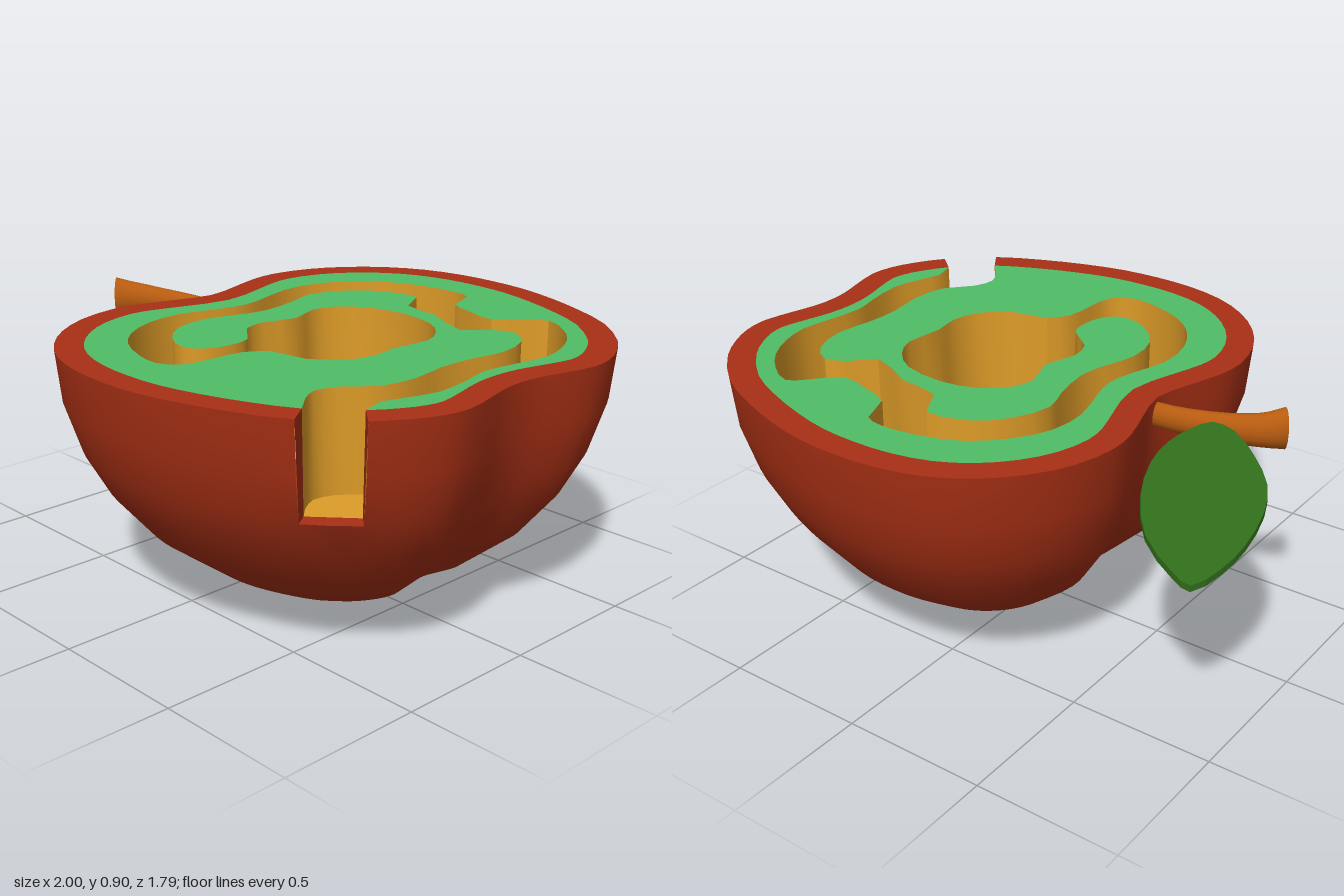
import * as THREE from 'three';
import { mergeVertices, toCreasedNormals } from 'three/addons/utils/BufferGeometryUtils.js';

const TOP = 0.88, FLOOR = 0.54, CX = 0.195;
const material = color => new THREE.MeshStandardMaterial({ color, side: THREE.DoubleSide });
const SKIN = material(0xa83015), FLESH = material(0x50be68), CORE = material(0xde9c28);
const STEM = material(0xb85c10), LEAF = material(0x306c1a);

// Smooth curve through [x, z] pairs, keeping the given points
function smooth(pairs, closed, sub = 2) {
  const curve = new THREE.CatmullRomCurve3(pairs.map(([x, z]) => new THREE.Vector3(x, 0, z)), closed);
  const n = (closed ? pairs.length : pairs.length - 1) * sub;
  const pts = [];
  for (let i = 0; i < n + (closed ? 0 : 1); i++) pts.push(curve.getPoint(i / n));
  return pts;
}
const at = (p, y, s = 1) => new THREE.Vector3(CX + (p.x - CX) * s, y, p.z * s);

// Surface through rows of points; skip(row, column) leaves a gap
function sheet(rows, wrap = false, skip = () => false) {
  const n = rows[0].length, index = [];
  for (let j = 0; j < rows.length - 1; j++) {
    for (let i = 0; i < (wrap ? n : n - 1); i++) {
      if (skip(j, i)) continue;
      const k = (i + 1) % n, a = j * n + i, b = j * n + k;
      index.push(a, b, a + n, b, b + n, a + n);
    }
  }
  const geo = new THREE.BufferGeometry().setFromPoints(rows.flat());
  geo.setIndex(index);
  const merged = mergeVertices(geo, 1e-5);
  merged.computeVertexNormals();
  return merged;
}

// Flat, upward-facing polygon
function plate(pts, y) {
  const shape = new THREE.Shape(pts.map(p => new THREE.Vector2(p.x, -p.z)));
  return new THREE.ShapeGeometry(shape).rotateX(-Math.PI / 2).translate(0, y, 0);
}

export function createModel() {
  const group = new THREE.Group();
  const add = (name, geo, mat) => {
    const mesh = new THREE.Mesh(geo, mat);
    mesh.name = name;
    group.add(mesh);
  };

  // Fruit outline: one half, mirrored in z
  const half = [[0.945, 0], [0.952, 0.08], [0.975, 0.17], [1, 0.29], [0.988, 0.38], [0.95, 0.47], [0.88, 0.575],
    [0.73, 0.71], [0.57, 0.79], [0.4, 0.85], [0.25, 0.885], [0.1, 0.895], [-0.05, 0.885], [-0.2, 0.845],
    [-0.33, 0.77], [-0.44, 0.66], [-0.515, 0.53], [-0.55, 0.38], [-0.54, 0.27], [-0.5, 0.14], [-0.465, 0]];
  const mirrored = half.slice(1, -1).reverse().map(([x, z]) => [x, -z]);
  const outer = smooth([...half, ...mirrored], true);
  const N = outer.length, A = 12, B = 14; // slot lies between columns A and B
  const inner = outer.map((p, i) => {
    const t = outer[(i + 1) % N].clone().sub(outer[(i + N - 1) % N]).normalize();
    return new THREE.Vector3(p.x - t.z * 0.095, 0, p.z + t.x * 0.095);
  });
  const inSlot = i => i >= A && i < B;

  // Skin bowl, with the exit slot left open in its upper rings
  const slotAngle = Math.asin((TOP - FLOOR) / TOP);
  const angles = [0, slotAngle / 2, slotAngle, ...[33, 45, 60, 75, 90].map(THREE.MathUtils.degToRad)];
  const rings = angles.map(f => outer.map(p => at(p, TOP * (1 - Math.sin(f)), Math.cos(f))));
  add('skinBowl', sheet(rings, true, (j, i) => j < 2 && inSlot(i)), SKIN);
  add('skinRim', sheet([inner.map(p => at(p, TOP)), outer.map(p => at(p, TOP))], true,
    (j, i) => inSlot(i)), SKIN);

  // Channel: outer wall from slot to centre pocket, then back along the inner wall
  const outerWall = smooth([[0.785, 0.43], [0.81, 0.35], [0.84, 0.235], [0.82, 0.085], [0.8, -0.01], [0.82, -0.155],
    [0.835, -0.26], [0.81, -0.37], [0.755, -0.475], [0.675, -0.555], [0.58, -0.605], [0.525, -0.56],
    [0.44, -0.475], [0.325, -0.5], [0.225, -0.535], [0.18, -0.65], [0.11, -0.67], [-0.02, -0.655],
    [-0.155, -0.605], [-0.26, -0.51], [-0.33, -0.385], [-0.34, -0.245], [-0.3, -0.1], [-0.28, 0],
    [-0.3, 0.11], [-0.34, 0.245], [-0.325, 0.39], [-0.26, 0.515], [-0.17, 0.595], [-0.05, 0.645],
    [0.055, 0.66], [0.125, 0.61], [0.14, 0.5], [0.15, 0.39], [0.2, 0.32]], false);
  const innerWall = smooth([[0.34, 0.295], [0.43, 0.215], [0.46, 0.11], [0.445, 0.01], [0.46, -0.13], [0.415, -0.22],
    [0.325, -0.29], [0.165, -0.315], [0.04, -0.285], [-0.045, -0.21], [-0.07, -0.13], [-0.03, -0.01],
    [-0.065, 0.11], [-0.045, 0.2], [0.05, 0.28], [0.065, 0.355], [0.04, 0.45], [-0.02, 0.49],
    [-0.12, 0.455], [-0.21, 0.355], [-0.23, 0.22], [-0.19, 0.085], [-0.175, -0.01], [-0.2, -0.155],
    [-0.23, -0.26], [-0.18, -0.395], [-0.085, -0.485], [0.06, -0.515], [0.12, -0.405], [0.27, -0.38],
    [0.45, -0.3], [0.515, -0.37], [0.595, -0.405], [0.675, -0.34], [0.71, -0.21], [0.69, -0.075],
    [0.685, 0.06], [0.705, 0.19], [0.685, 0.325], [0.605, 0.42], [0.585, 0.5], [0.62, 0.565]], false);
  const wall = [...outerWall, ...innerWall];

  // Flesh top face runs around the rim, then along the channel
  add('fleshTop', plate([...inner.slice(B), ...inner.slice(0, A + 1), ...wall], TOP), FLESH);

  // Channel walls and floor
  const lip = 0.96; // taper of the skin's inside at floor level
  const wallTop = [inner[A], ...wall, inner[B]].map(p => at(p, TOP));
  const wallLow = [at(inner[A], FLOOR, lip), ...wall.map(p => at(p, FLOOR)), at(inner[B], FLOOR, lip)];
  add('channelWalls', toCreasedNormals(sheet([wallTop, wallLow]), 0.7), CORE);
  add('channelFloor', plate(wallLow, FLOOR), CORE);

  // Cut skin at the slot: two cheeks and the sill
  for (const [c, name] of [[A, 'slotCheekLeft'], [B, 'slotCheekRight']]) {
    const top = [at(outer[c], TOP), at(inner[c], TOP)];
    const low = [rings[2][c], at(inner[c], FLOOR, lip)];
    if (c === B) { top.reverse(); low.reverse(); }
    add(name, sheet([top, low]), SKIN);
  }
  add('slotSill', plate([at(inner[A], 0, lip), ...rings[2].slice(A, B + 1), at(inner[B], 0, lip)], FLOOR), SKIN);

  // Stem: oval sections along a bent path, flaring to the tip
  const path = new THREE.CatmullRomCurve3([[-0.42, 0.82, -0.005], [-0.55, 0.82, 0.005], [-0.7, 0.822, 0.045],
    [-0.8, 0.825, 0.09], [-0.85, 0.828, 0.135]].map(p => new THREE.Vector3(...p)));
  const sections = [];
  for (let j = 0; j <= 10; j++) {
    const t = j / 10, c = path.getPoint(t), d = path.getTangent(t);
    const side = new THREE.Vector3(-d.z, 0, d.x).normalize();
    const w = 0.026 + 0.018 * t, h = 0.042 + 0.029 * t * t;
    sections.push(Array.from({ length: 16 }, (_, i) => {
      const a = i / 16 * Math.PI * 2;
      return c.clone().addScaledVector(side, -Math.cos(a) * w).add(new THREE.Vector3(0, Math.sin(a) * h, 0));
    }));
  }
  const tip = path.getPoint(1);
  sections.push(sections[10].map(() => tip.clone()));
  add('stem', toCreasedNormals(sheet(sections, true), 0.8), STEM);

  // Leaf: thin blade, tilted down towards the back
  const blade = smooth([[-0.94, -0.57], [-0.87, -0.555], [-0.73, -0.48], [-0.635, -0.36], [-0.59, -0.235],
    [-0.59, -0.14], [-0.62, -0.06], [-0.665, 0], [-0.745, 0], [-0.85, -0.06], [-0.94, -0.14],
    [-0.985, -0.235], [-1, -0.37], [-0.985, -0.475]], true);
  const bladeShape = new THREE.Shape(blade.map(p => new THREE.Vector2(p.x, -p.z)));
  const leaf = new THREE.ExtrudeGeometry(bladeShape, { depth: 0.022, bevelEnabled: false }).rotateX(-Math.PI / 2);
  const pos = leaf.attributes.position;
  for (let i = 0; i < pos.count; i++) {
    pos.setY(i, pos.getY(i) + 0.815 + 0.31 * pos.getZ(i) + 0.1 * (pos.getX(i) + 0.8));
  }
  leaf.computeVertexNormals();
  add('leaf', leaf, LEAF);

  return group;
}
